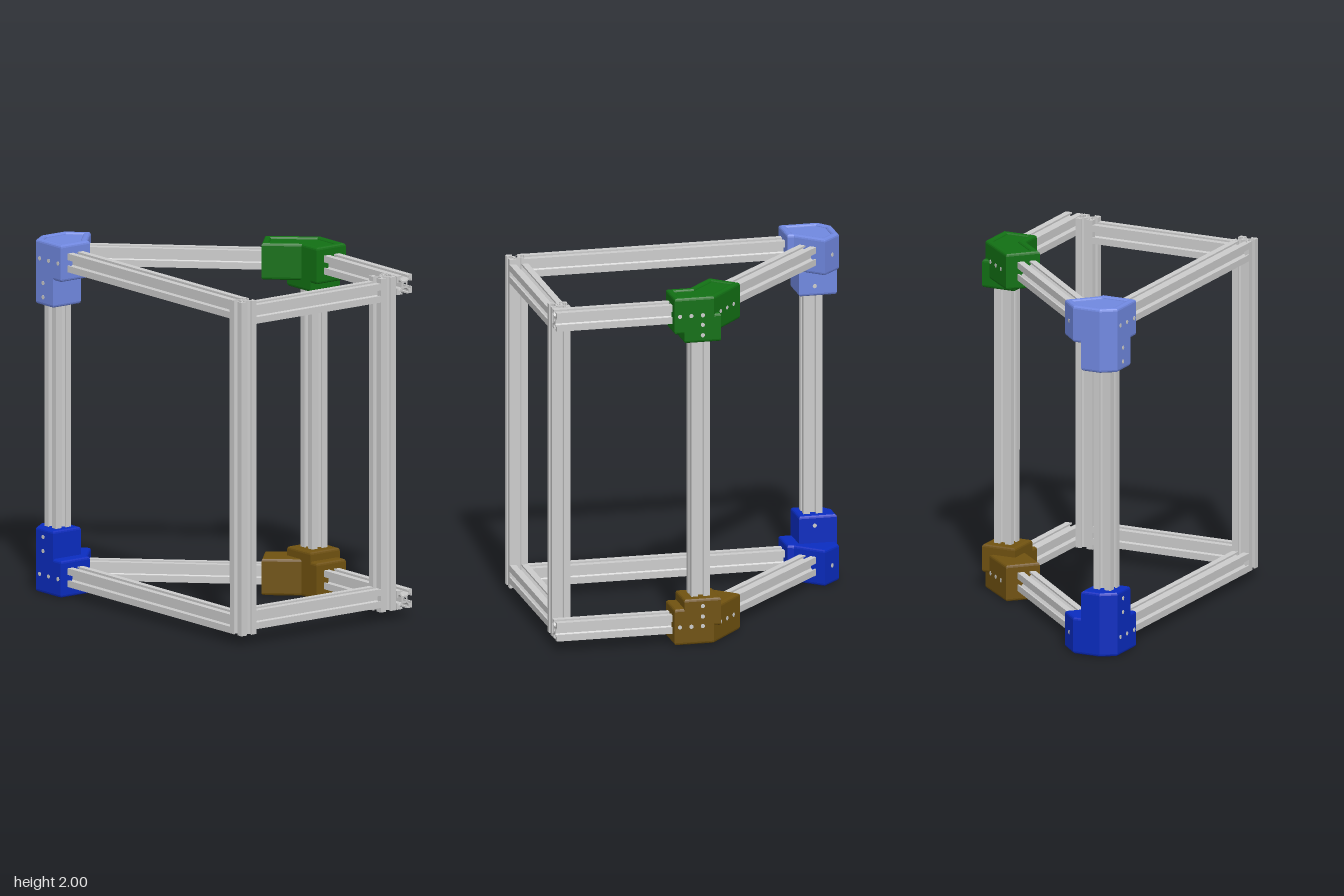
import * as THREE from 'three';

const grey = new THREE.MeshStandardMaterial({ color: 0xcccccc });
const SIDE = 0.106;   // width of the slotted bar
const LOW = 0.111, HIGH = 1.896;   // heights of the horizontal bars
const FRONT = 0.543, BACK = -0.545;

// Square bar section with a T-slot on every side and a centre bore
function slotProfile() {
  const slot = [[-10, 10], [-3, 10], [-3, 8.2], [-5.5, 8.2], [-5.5, 6.6], [-2.8, 3.9],
    [2.8, 3.9], [5.5, 6.6], [5.5, 8.2], [3, 8.2], [3, 10]];
  const pts = [];
  for (let k = 0; k < 4; k++) {
    for (const [x, y] of slot) {
      pts.push(new THREE.Vector2(x, y).multiplyScalar(SIDE / 20).rotateAround(new THREE.Vector2(), -k * Math.PI / 2));
    }
  }
  const shape = new THREE.Shape(pts);
  shape.holes.push(new THREE.Path().absarc(0, 0, 2.1 * SIDE / 20, 0, Math.PI * 2, true));
  return shape;
}

// Slotted bar running from point a to point b
function bar(parent, name, a, b) {
  const from = new THREE.Vector3(...a), to = new THREE.Vector3(...b);
  const geo = new THREE.ExtrudeGeometry(slotProfile(), {
    depth: from.distanceTo(to), bevelEnabled: false, curveSegments: 6 });
  const mesh = new THREE.Mesh(geo, grey);
  mesh.name = name;
  mesh.position.copy(from);
  mesh.lookAt(to);
  parent.add(mesh);
}

// Moves every edge of a closed outline inward by d
function inset(pts, d) {
  const s = THREE.ShapeUtils.area(pts) > 0 ? 1 : -1, n = pts.length;
  return pts.map((p, i) => {
    const e1 = p.clone().sub(pts[(i + n - 1) % n]).normalize();
    const e2 = pts[(i + 1) % n].clone().sub(p).normalize();
    const n1 = new THREE.Vector2(-e1.y, e1.x), n2 = new THREE.Vector2(-e2.y, e2.x);
    return n1.clone().add(n2).multiplyScalar(s * d / (1 + n1.dot(n2))).add(p);
  });
}

// Upright prism over a ground outline, with rounded rims of size bevel
function prism(parent, name, shape, y0, y1, bevel, material) {
  const geo = new THREE.ExtrudeGeometry(shape, {
    depth: y1 - y0 - 2 * bevel, bevelEnabled: bevel > 0, bevelThickness: bevel,
    bevelSize: bevel, bevelOffset: -bevel, bevelSegments: 3 });
  geo.rotateX(-Math.PI / 2);
  geo.translate(0, y0 + bevel, 0);
  const mesh = new THREE.Mesh(geo, material);
  mesh.name = name;
  parent.add(mesh);
}

// Corner bracket: body with a recessed cap panel, post sleeve and screws.
// Described at the top of the frame; flip gives the bottom one.
function bracket(spec, name, color, flip) {
  const group = new THREE.Group();
  group.name = name;
  const material = new THREE.MeshStandardMaterial({ color });
  const span = (a, b) => (flip ? [2 - b, 2 - a] : [a, b]);
  const outline = (list) => list.map(([x, z]) => new THREE.Vector2(x, -z));

  const body = outline(spec.body);
  const rim = new THREE.Shape(body);
  rim.holes.push(new THREE.Path(inset(body, 0.04)));
  prism(group, 'body', rim, ...span(1.79, 2), 0.016, material);
  prism(group, 'capPanel', new THREE.Shape(inset(body, 0.024)), ...span(1.79, 1.988), 0, material);
  prism(group, 'postSleeve', new THREE.Shape(outline(spec.sleeve)), ...span(spec.sleeveEnd, 1.9), 0.016, material);

  // Screws: position on the face, then outward direction
  for (const [x, y, z, nx, nz] of spec.screws) {
    const dir = new THREE.Vector3(nx, 0, nz).normalize();
    const screw = new THREE.Mesh(new THREE.CylinderGeometry(0.012, 0.012, 0.03, 12), grey);
    screw.name = 'screw';
    screw.quaternion.setFromUnitVectors(new THREE.Vector3(0, 1, 0), dir);
    screw.position.set(x, flip ? 2 - y : y, z).addScaledVector(dir, -0.013);
    group.add(screw);
  }
  return group;
}

const frontBracket = {
  body: [[-0.825, 0.295], [-0.93, 0.4], [-0.93, 0.565], [-0.87, 0.645], [-0.645, 0.645], [-0.645, 0.44], [-0.68, 0.43]],
  sleeve: [[-0.93, 0.45], [-0.93, 0.565], [-0.87, 0.645], [-0.715, 0.645], [-0.715, 0.45]],
  sleeveEnd: 1.632,
  screws: [
    ...[-0.835, -0.755, -0.67].map((x) => [x, 1.895, 0.645, 0, 1]),
    ...[1.76, 1.68].map((y) => [-0.804, y, 0.645, 0, 1]),
    [-0.804, 1.69, 0.45, 0, -1],
    [-0.878, 1.895, 0.348, -1, -1],
  ],
};

const backBracket = {
  body: [[0.04, -0.645], [-0.165, -0.41], [-0.02, -0.275], [0.13, -0.44], [0.265, -0.44], [0.265, -0.645]],
  sleeve: [[0, -0.645], [0, -0.44], [0.21, -0.44], [0.21, -0.645]],
  sleeveEnd: 1.737,
  screws: [
    ...[0.105, 0.17, 0.235].map((x) => [x, 1.895, -0.645, 0, -1]),
    ...[1.84, 1.78].map((y) => [0.105, y, -0.645, 0, -1]),
    ...[0.25, 0.5, 0.75].map((t) => [0.04 - 0.205 * t, 1.895, -0.645 + 0.235 * t, -0.235, -0.205]),
  ],
};

export function createModel() {
  const model = new THREE.Group();
  model.name = 'slottedBarFrame';

  // Upright posts
  bar(model, 'frontLeftEndPost', [0.872, 0.058, FRONT], [0.872, 1.95, FRONT]);
  bar(model, 'backLeftEndPost', [0.872, 0.058, -0.432], [0.872, 1.95, -0.432]);
  bar(model, 'frontRightPost', [-0.804, 0.1, FRONT], [-0.804, 1.9, FRONT]);
  bar(model, 'backMiddlePost', [0.106, 0.1, BACK], [0.106, 1.9, BACK]);

  // Horizontal rails, bottom and top
  for (const [level, y, sideY] of [['bottom', LOW, 0.138], ['top', HIGH, 1.87]]) {
    bar(model, level + 'FrontRail', [-0.74, y, FRONT], [0.819, y, FRONT]);
    bar(model, level + 'BackRail', [0.17, y, BACK], [0.925, y, BACK]);
    bar(model, level + 'SideRail', [0.872, sideY, -0.379], [0.872, sideY, 0.49]);
    bar(model, level + 'DiagonalRail', [-0.78, y, 0.407], [-0.02, y, -0.388]);
  }

  // Corner brackets
  model.add(bracket(frontBracket, 'topFrontBracket', 0x7088e0, false));
  model.add(bracket(frontBracket, 'bottomFrontBracket', 0x0a2cc0, true));
  model.add(bracket(backBracket, 'topBackBracket', 0x127014, false));
  model.add(bracket(backBracket, 'bottomBackBracket', 0x705210, true));
  return model;
}
